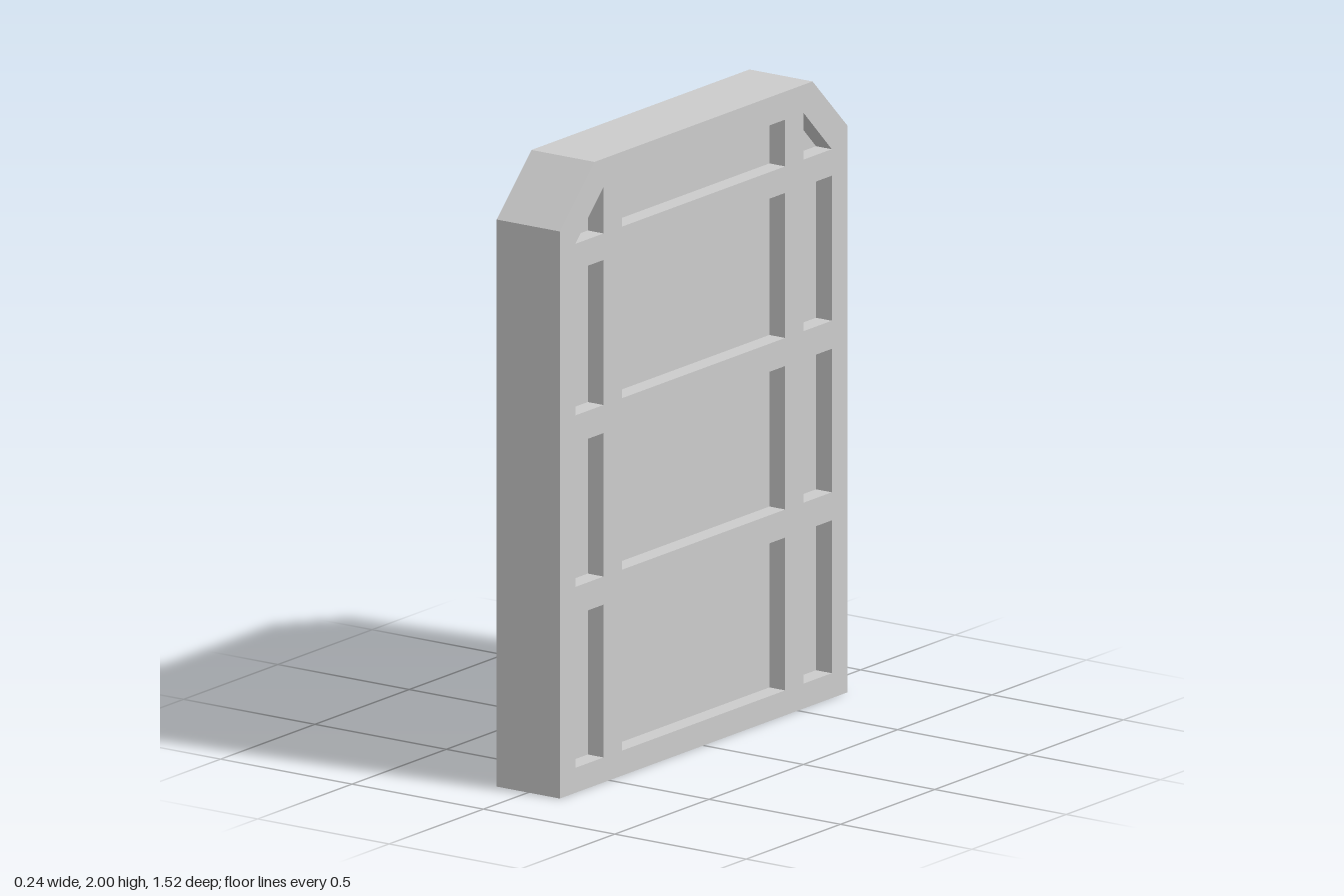
import * as THREE from 'three';

const THICK = 0.24;      // full slab thickness along x
const WEB = 0.12;        // thickness left between opposite recesses

const rows = [[0.08, 0.57], [0.66, 1.12], [1.21, 1.675]];
const cornerRow = [1.76, 1.91];
const CENTER = 0.433, IN = 0.53, OUT = 0.68;

const rect = (a, b, y0, y1) => [[a, y0], [b, y0], [b, y1], [a, y1]];
const toPoints = (pts) => pts.map(([a, y]) => new THREE.Vector2(a, y));

// Outlines of every recess, drawn across the slab's width and height
function recessOutlines() {
  const list = [];
  for (const [y0, y1] of [...rows, cornerRow]) list.push(rect(-CENTER, CENTER, y0, y1));
  for (const s of [-1, 1]) {
    for (const [y0, y1] of rows) list.push(rect(s * IN, s * OUT, y0, y1));
    const [y0, y1] = cornerRow;
    list.push([[s * IN, y0], [s * OUT, y0], [s * IN, y1]]);
  }
  return list.map(toPoints);
}

export function createModel() {
  const model = new THREE.Group();
  model.name = 'panelledSlab';
  const material = new THREE.MeshStandardMaterial({ color: 0xcccccc, flatShading: true });
  const recesses = recessOutlines();

  // Frame: chamfered slab pierced by the recess openings
  const outline = new THREE.Shape(toPoints([
    [-0.762, 0], [0.762, 0], [0.762, 1.818], [0.578, 2], [-0.578, 2], [-0.762, 1.818],
  ]));
  outline.holes = recesses.map((pts) => new THREE.Path(pts));
  const frameGeometry = new THREE.ExtrudeGeometry(outline, { depth: THICK, bevelEnabled: false });
  frameGeometry.translate(0, 0, -THICK / 2).rotateY(Math.PI / 2);
  const frame = new THREE.Mesh(frameGeometry, material);
  frame.name = 'frame';
  model.add(frame);

  // Recessed panel faces on both sides
  for (const [side, name] of [[1, 'leftPanels'], [-1, 'rightPanels']]) {
    const geometry = new THREE.ShapeGeometry(recesses.map((pts) => new THREE.Shape(pts)));
    geometry.translate(0, 0, WEB / 2).rotateY(side * Math.PI / 2);
    const panels = new THREE.Mesh(geometry, material);
    panels.name = name;
    model.add(panels);
  }
  return model;
}
